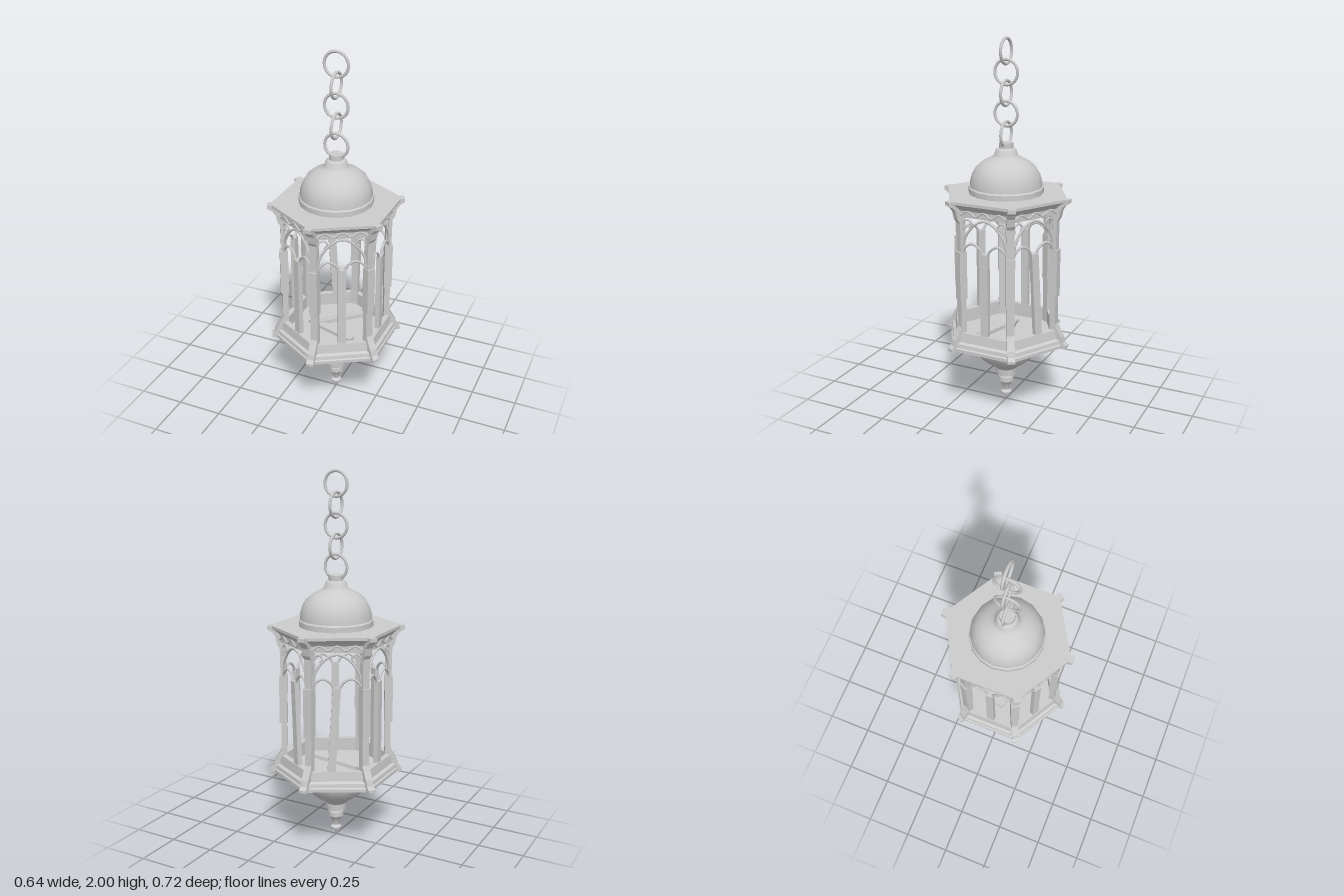
import * as THREE from 'three';
import { toCreasedNormals } from 'three/addons/utils/BufferGeometryUtils.js';

const smoothMat = new THREE.MeshStandardMaterial({ color: 0xcccccc });
const flatMat = new THREE.MeshStandardMaterial({ color: 0xcccccc, flatShading: true });

function add(parent, name, geometry, material = flatMat) {
  const mesh = new THREE.Mesh(geometry, material);
  mesh.name = name;
  parent.add(mesh);
  return mesh;
}

// Turned part from [radius, y] pairs listed bottom to top
function turned(parent, name, pairs) {
  const pts = pairs.map(([r, y]) => new THREE.Vector2(r, y));
  return add(parent, name, toCreasedNormals(new THREE.LatheGeometry(pts, 16), 0.6), smoothMat);
}

// Six-sided part from [apothem, y] pairs; corners point to +z and -z
function hexagonal(parent, name, pairs) {
  const pts = pairs.map(([a, y]) => new THREE.Vector2(a / Math.cos(Math.PI / 6), y));
  return add(parent, name, new THREE.LatheGeometry(pts, 6));
}

// Thin bar following [x, y] points in the plane of a side
function bar(parent, name, pts, z, radius = 0.006, segments = 20) {
  const curve = new THREE.CatmullRomCurve3(pts.map(([x, y]) => new THREE.Vector3(x, y, z)));
  return add(parent, name, new THREE.TubeGeometry(curve, segments, radius, 6), smoothMat);
}

function box(parent, name, w, h, d, x, y, z) {
  const mesh = add(parent, name, new THREE.BoxGeometry(w, h, d));
  mesh.position.set(x, y, z);
  return mesh;
}

// Corner post: side outline extruded across its width, flared at both ends
function cornerPost() {
  const outline = [
    [0.36, 0.38], [0.36, 0.395], [0.343, 0.41], [0.335, 0.44], [0.312, 0.48], [0.297, 0.51],
    [0.295, 0.66], [0.295, 0.93], [0.297, 1.08], [0.31, 1.1], [0.318, 1.14], [0.335, 1.165],
    [0.36, 1.18], [0.36, 1.2], [0.265, 1.2], [0.265, 0.38],
  ];
  const shape = new THREE.Shape(outline.map(([r, y]) => new THREE.Vector2(r, y)));
  const geo = new THREE.ExtrudeGeometry(shape, { depth: 0.04, bevelEnabled: false });
  geo.translate(0, 0, -0.02);
  geo.rotateY(-Math.PI / 2);
  const post = new THREE.Group();
  post.name = 'cornerPost';
  add(post, 'postShaft', geo);
  box(post, 'postSleeve', 0.046, 0.26, 0.043, 0, 0.795, 0.282);
  return post;
}

// One open side: mullion, paired small arches, a large arch, scrolls and a wavy trim
function windowSide(lean) {
  const side = new THREE.Group();
  side.name = 'windowSide';
  const z = 0.25;
  const mullion = box(side, 'mullion', 0.042, 0.48, 0.026, lean * 0.25, 0.69, z);
  mullion.rotation.z = lean;
  bar(side, 'largeArch', [
    [-0.125, 0.94], [-0.114, 1.0], [-0.08, 1.055], [-0.04, 1.09], [0, 1.103],
    [0.04, 1.09], [0.08, 1.055], [0.114, 1.0], [0.125, 0.94],
  ], z, 0.007, 28);
  for (const s of [-1, 1]) {
    bar(side, 'smallArch', [
      [s * 0.012, 0.915], [s * 0.025, 0.945], [s * 0.048, 0.967], [s * 0.073, 0.976],
      [s * 0.098, 0.965], [s * 0.118, 0.945], [s * 0.13, 0.915],
    ], z, 0.007);
    // Spiral curl above the shoulder of the large arch
    const curl = [[s * 0.13, 1.02]];
    for (let i = 0; i <= 9; i++) {
      const a = -0.5 + i * 0.55, r = 0.03 - i * 0.0018;
      curl.push([s * (0.094 + r * Math.cos(a)), 1.078 + r * Math.sin(a)]);
    }
    bar(side, 'scroll', curl, z, 0.005, 30);
  }
  const wave = [];
  for (let i = 0; i <= 16; i++) {
    wave.push([-0.135 + i * 0.016875, 1.138 + 0.012 * Math.cos((i / 16) * Math.PI * 6 - Math.PI)]);
  }
  bar(side, 'wavyTrim', wave, 0.264, 0.006, 36);
  return side;
}

export function createModel() {
  const model = new THREE.Group();
  model.name = 'hangingLantern';

  // Hollow hexagonal base tray and roof cornice
  hexagonal(model, 'baseTray', [
    [0, 0.38], [0.3, 0.38], [0.3, 0.397], [0.293, 0.402], [0.29, 0.422],
    [0.275, 0.43], [0.268, 0.48], [0.24, 0.48], [0.24, 0.405], [0, 0.405],
  ]);
  hexagonal(model, 'roofCornice', [
    [0, 1.18], [0.245, 1.18], [0.245, 1.115], [0.262, 1.115], [0.264, 1.15],
    [0.276, 1.165], [0.3, 1.185], [0.3, 1.2], [0, 1.2],
  ]);

  // Posts at the corners, tracery between them; the two rear mullions lean
  for (let i = 0; i < 6; i++) {
    const angle = (i * Math.PI) / 3;
    const post = cornerPost();
    post.rotation.y = angle;
    model.add(post);
    const side = windowSide(i === 2 ? 0.06 : i === 3 ? -0.06 : 0);
    side.rotation.y = angle + Math.PI / 6;
    model.add(side);
  }

  // Loose slats lying in the tray
  const slatA = box(model, 'looseSlat', 0.3, 0.02, 0.042, 0, 0.45, -0.03);
  slatA.rotation.set(0, 0.35, 0.25);
  const slatB = box(model, 'looseSlat', 0.3, 0.02, 0.042, -0.01, 0.42, 0.05);
  slatB.rotation.y = -0.3;

  // Dome with neck and cap
  turned(model, 'dome', [
    [0.197, 1.2], [0.197, 1.228], [0.19, 1.235], [0.188, 1.265], [0.178, 1.3], [0.158, 1.335],
    [0.126, 1.363], [0.09, 1.382], [0.07, 1.392], [0.062, 1.402], [0.055, 1.425], [0.05, 1.432],
    [0.038, 1.437], [0.038, 1.465], [0, 1.465],
  ]);

  // Bowl below the base, ending in a turned finial
  turned(model, 'bowlAndFinial', [
    [0, 0], [0.006, 0.012], [0.01, 0.026], [0.027, 0.035], [0.03, 0.048], [0.016, 0.06],
    [0.02, 0.078], [0.034, 0.11], [0.043, 0.118], [0.043, 0.145], [0.036, 0.155],
    [0.057, 0.16], [0.06, 0.2], [0.072, 0.213], [0.105, 0.235], [0.145, 0.268],
    [0.172, 0.3], [0.187, 0.335], [0.19, 0.355], [0.2, 0.36], [0.2, 0.38],
  ]);

  // Chain of interlocked rings, alternating by a quarter turn
  for (let i = 0; i < 5; i++) {
    const ring = add(model, 'chainRing', new THREE.TorusGeometry(0.064, 0.008, 8, 24), smoothMat);
    ring.position.y = 1.928 - i * 0.105;
    ring.rotation.y = (i % 2) * Math.PI / 2;
  }
  return model;
}
